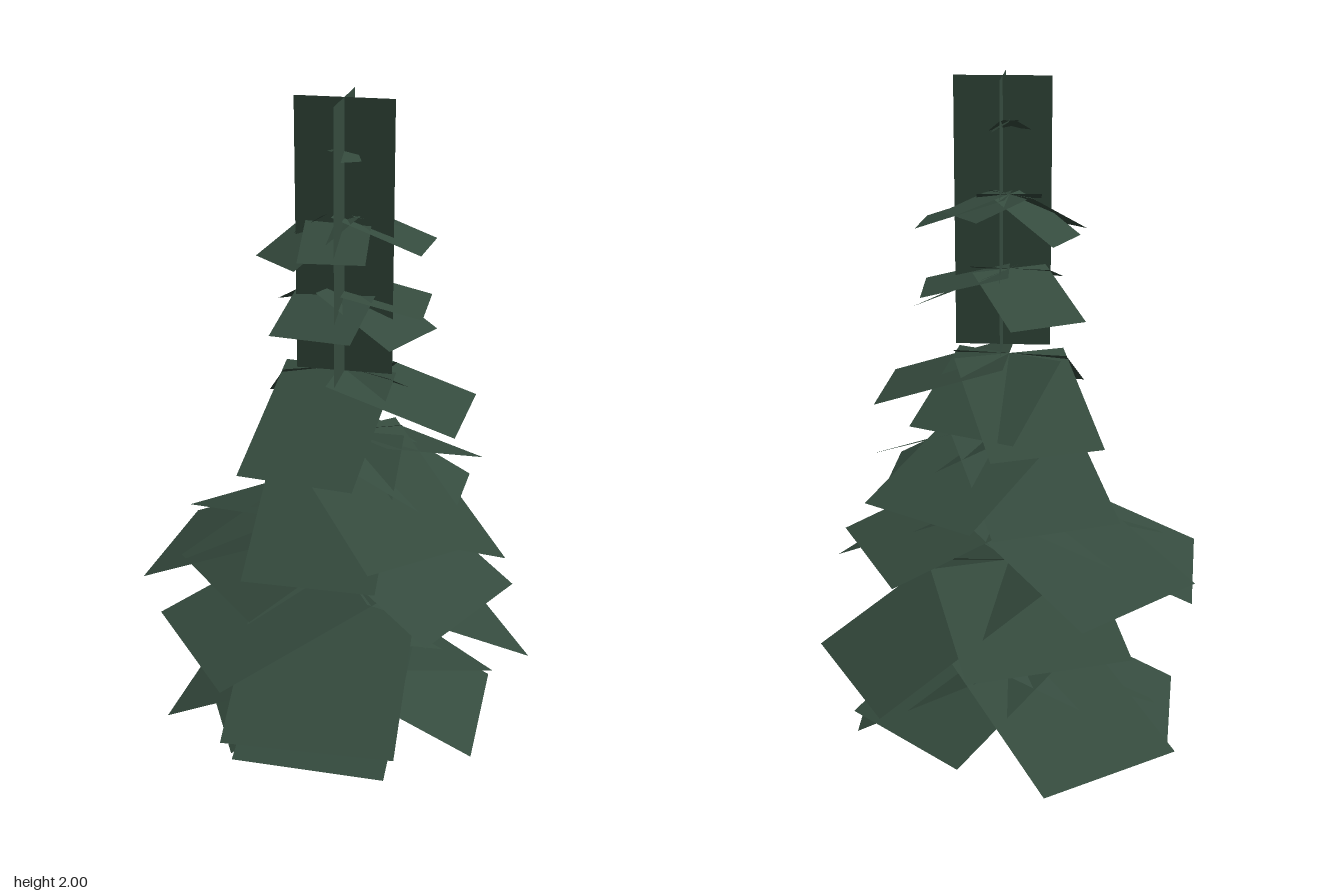
import * as THREE from 'three';

export function createModel() {
  const tree = new THREE.Group();
  tree.name = 'conifer';
  const needles = new THREE.MeshStandardMaterial({ color: 0x354b3e, side: THREE.DoubleSide });
  needles.name = 'dark green needles';

  // Whorl of flat cards sloping from the axis at height top out to a lower tip.
  // Each bough is [heading in degrees from +x towards +z, reach, tip height].
  function addWhorl(name, width, top, boughs) {
    const whorl = new THREE.Group();
    whorl.name = name;
    for (const [heading, reach, tip] of boughs) {
      const drop = top - tip;
      const card = new THREE.PlaneGeometry(width, Math.hypot(reach, drop));
      card.rotateX(-Math.atan2(reach, drop));
      card.translate(0, (top + tip) / 2, reach / 2);
      const bough = new THREE.Mesh(card, needles);
      bough.name = 'bough';
      bough.rotation.y = THREE.MathUtils.degToRad(90 - heading);
      whorl.add(bough);
    }
    tree.add(whorl);
  }

  // Whorls from the ground up
  addWhorl('groundBoughs', 0.47, 0.24,
    [[235, 0.575, 0.045], [0, 0.46, 0.015], [184, 0.52, 0], [91, 0.463, 0.06], [-49, 0.457, 0.06], [154, 0.41, 0.03]]);
  addWhorl('lowBoughs', 0.51, 0.51,
    [[88, 0.588, 0.22], [-30, 0.548, 0.22], [142, 0.52, 0.34], [250, 0.43, 0.34]]);
  addWhorl('lowerMiddleBoughs', 0.47, 0.75,
    [[184, 0.575, 0.51], [26, 0.49, 0.51], [224.5, 0.565, 0.555], [138, 0.443, 0.56], [-26, 0.462, 0.6]]);
  addWhorl('middleBoughs', 0.39, 0.98,
    [[-57, 0.448, 0.805], [48, 0.485, 0.765], [247, 0.412, 0.775], [90, 0.465, 0.69], [2, 0.37, 0.785]]);
  addWhorl('upperMiddleBoughs', 0.345, 1.19,
    [[3, 0.382, 1.07], [97, 0.41, 0.985], [248, 0.35, 0.985], [-65, 0.295, 1.02]]);
  addWhorl('highBoughs', 0.24, 1.45,
    [[97, 0.273, 1.365], [240, 0.25, 1.335], [25, 0.26, 1.33], [-2, 0.255, 1.39]]);
  addWhorl('upperBoughs', 0.19, 1.67,
    [[85, 0.228, 1.575], [5, 0.262, 1.58], [203, 0.185, 1.55], [132, 0.23, 1.55], [-36, 0.17, 1.62]]);
  addWhorl('crownTwigs', 0.06, 1.88,
    [[63, 0.11, 1.83], [123, 0.065, 1.85], [0, 0.05, 1.85]]);

  // Crossed upright planes forming the leader
  for (const [name, turn] of [['leaderAcross', 0], ['leaderAlong', Math.PI / 2]]) {
    const plane = new THREE.Mesh(new THREE.PlaneGeometry(0.285, 0.8), needles);
    plane.name = name;
    plane.position.set(0.023, 1.6, 0.06);
    plane.rotation.y = turn;
    tree.add(plane);
  }
  return tree;
}
